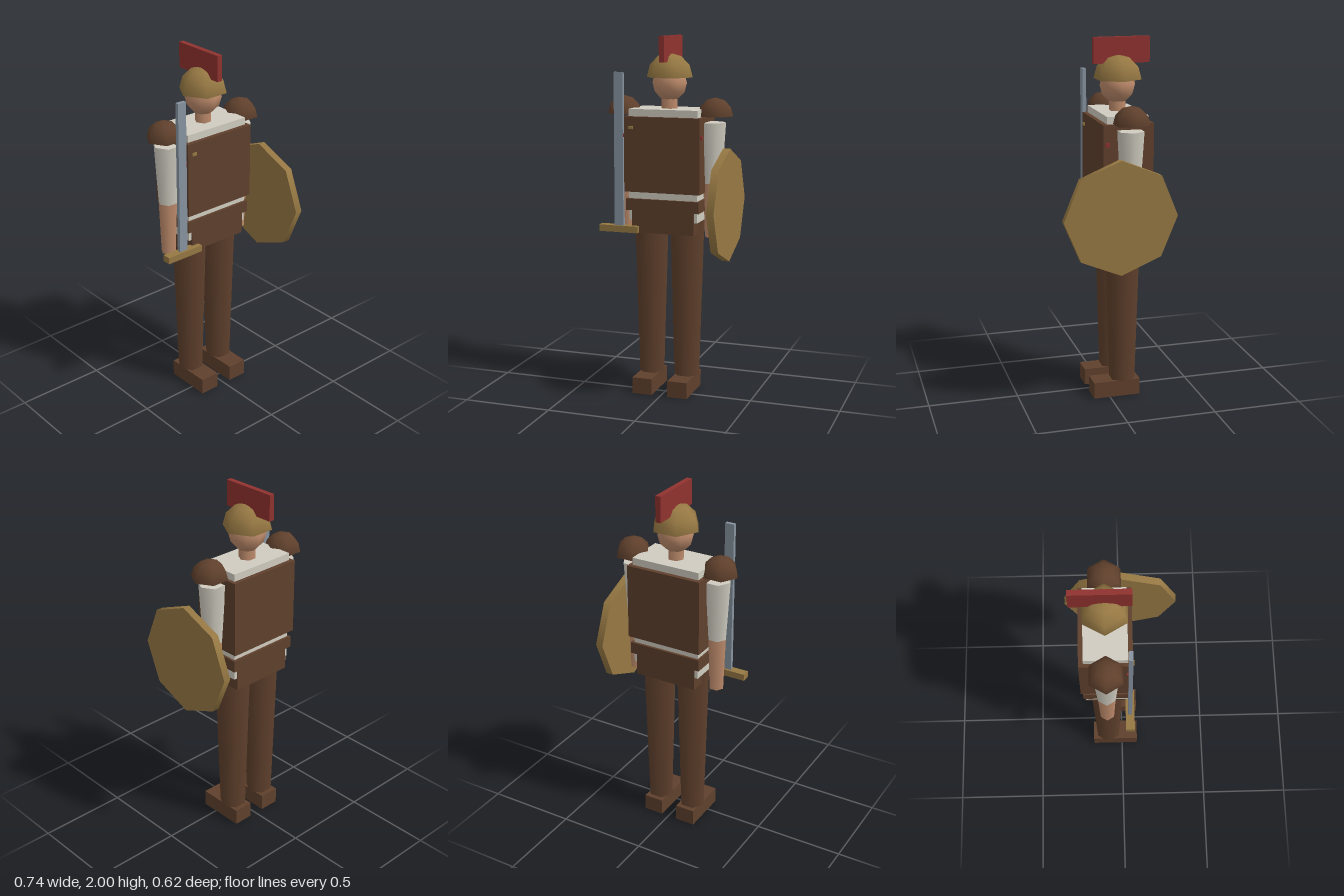
import * as THREE from 'three';

export function createModel() {
  const mat = (name, color, side = THREE.FrontSide) => {
    const m = new THREE.MeshStandardMaterial({ color, side });
    m.name = name;
    return m;
  };
  const leather = mat('leather brown', 0x5f402c, THREE.DoubleSide);
  const bronze = mat('bronze', 0x967843, THREE.DoubleSide);
  const cloth = mat('linen', 0xd0ccc0);
  const skin = mat('skin', 0xbf8c6c);
  const red = mat('crest red', 0x8f322f);
  const steel = mat('steel', 0x8793a0);

  const model = new THREE.Group();
  model.name = 'soldier';
  const body = new THREE.Group();
  body.name = 'body';
  body.position.set(-0.005, 0, -0.084);
  model.add(body);

  const add = (parent, name, geometry, material, x, y, z) => {
    const mesh = new THREE.Mesh(geometry, material);
    mesh.name = name;
    mesh.position.set(x, y, z);
    parent.add(mesh);
    return mesh;
  };
  // Box from its bottom and top heights
  const box = (parent, name, material, w, y0, y1, d, x = 0, z = 0) =>
    add(parent, name, new THREE.BoxGeometry(w, y1 - y0, d), material, x, (y0 + y1) / 2, z);
  // Tapered six-sided limb with corners pointing to the sides
  const limb = (name, material, r0, r1, y0, y1, x) =>
    add(body, name, new THREE.CylinderGeometry(r1, r0, y1 - y0, 6).rotateY(Math.PI / 2),
      material, x, (y0 + y1) / 2, 0);
  // Low-poly half sphere
  const dome = (name, material, r, x, y) =>
    add(body, name, new THREE.SphereGeometry(r, 6, 3, 0, Math.PI * 2, 0, Math.PI / 2), material, x, y, 0);

  // Torso layers
  box(body, 'tunic', cloth, 0.396, 0.99, 1.605, 0.228);
  box(body, 'breastplate', leather, 0.434, 1.15, 1.565, 0.278);
  box(body, 'belt', leather, 0.422, 1.045, 1.11, 0.256);
  box(body, 'hips', leather, 0.36, 0.92, 1.045, 0.24);
  box(body, 'sash', red, 0.454, 1.45, 1.47, 0.022, 0, 0.118);

  // Head, helmet and crest
  limb('neck', skin, 0.046, 0.046, 1.59, 1.7, 0);
  add(body, 'head', new THREE.SphereGeometry(0.1, 8, 6), skin, 0, 1.745, 0);
  dome('helmet', bronze, 0.133, 0, 1.775);
  box(body, 'crest', red, 0.03, 1.86, 2.0, 0.313, 0, -0.02);

  // Arms, legs and shoulder guards
  for (const [side, s] of [['left', 1], ['right', -1]]) {
    dome(side + 'ShoulderGuard', leather, 0.1, s * 0.264, 1.57);
    limb(side + 'Sleeve', cloth, 0.053, 0.074, 1.2, 1.535, s * 0.25);
    limb(side + 'Forearm', skin, 0.042, 0.053, 0.9, 1.2, s * 0.25);
    limb(side + 'Leg', leather, 0.074, 0.1, 0.09, 0.99, s * 0.105);
    box(body, side + 'Boot', leather, 0.114, 0, 0.093, 0.267, s * 0.104, 0.043);
  }

  // Round shield on the left arm
  add(model, 'shield', new THREE.CylinderGeometry(0.31, 0.31, 0.041, 8).rotateZ(Math.PI / 2),
    bronze, 0.348, 1.095, 0);

  // Upright sword in the right hand
  box(model, 'swordBlade', steel, 0.052, 0.95, 1.805, 0.021, -0.256, 0.041);
  box(model, 'swordGuard', bronze, 0.227, 0.92, 0.957, 0.048, -0.256, 0.041);

  // Small clasp on the breastplate
  box(model, 'clasp', bronze, 0.027, 1.497, 1.513, 0.008, -0.182, 0.058);

  return model;
}
